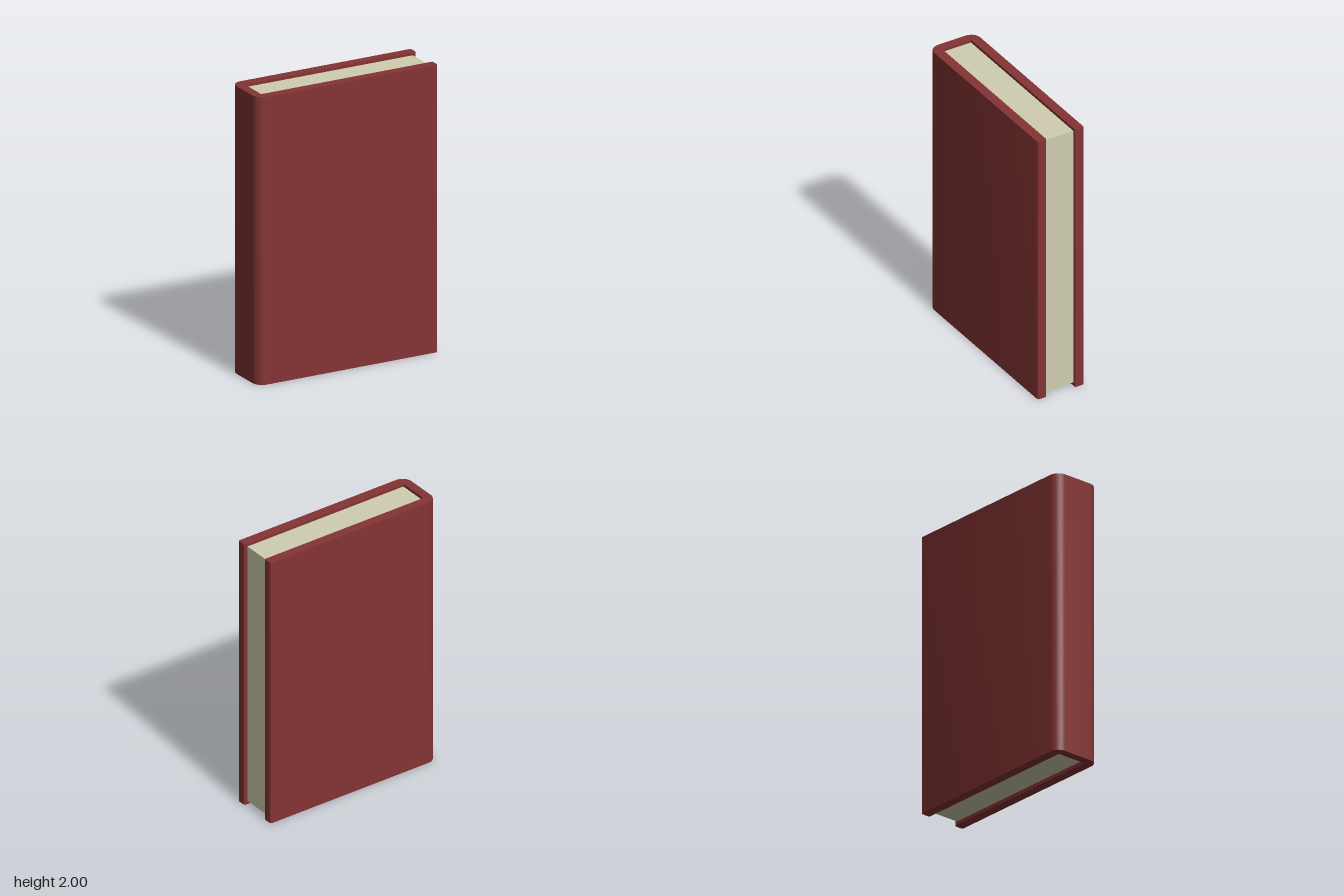
import * as THREE from 'three';
import { toCreasedNormals } from 'three/addons/utils/BufferGeometryUtils.js';

const HEIGHT = 2;
const END = 0.678;      // half width of the covers
const OUTER = 0.178;    // half thickness of the whole book
const INNER = 0.11;     // half thickness of the pages
const SPINE_IN = -0.615; // inner face of the spine

// U-shaped section of the binding: rounded spine, softened board edges
function bindingShape() {
  const r = 0.07, e = 0.013;
  const s = new THREE.Shape();
  s.moveTo(-END + r, -OUTER);
  s.lineTo(END - e, -OUTER);
  s.quadraticCurveTo(END, -OUTER, END, -OUTER + e);
  s.lineTo(END, -INNER - e);
  s.quadraticCurveTo(END, -INNER, END - e, -INNER);
  s.lineTo(SPINE_IN, -INNER);
  s.lineTo(SPINE_IN, INNER);
  s.lineTo(END - e, INNER);
  s.quadraticCurveTo(END, INNER, END, INNER + e);
  s.lineTo(END, OUTER - e);
  s.quadraticCurveTo(END, OUTER, END - e, OUTER);
  s.lineTo(-END + r, OUTER);
  s.absarc(-END + r, OUTER - r, r, Math.PI / 2, Math.PI, false);
  s.lineTo(-END, -OUTER + r);
  s.absarc(-END + r, -OUTER + r, r, Math.PI, Math.PI * 1.5, false);
  return s;
}

export function createModel() {
  const coverRed = new THREE.MeshStandardMaterial({ color: 0x853434 });
  coverRed.name = 'cover red';
  const pageCream = new THREE.MeshStandardMaterial({ color: 0xd0ceb0 });
  pageCream.name = 'page cream';

  const book = new THREE.Group();
  book.name = 'book';

  // Front board, spine and back board in one wrap
  const wrap = new THREE.ExtrudeGeometry(bindingShape(), {
    depth: HEIGHT, bevelEnabled: false, curveSegments: 6,
  });
  wrap.rotateX(-Math.PI / 2);
  const binding = new THREE.Mesh(toCreasedNormals(wrap, 0.6), coverRed);
  binding.name = 'binding';
  book.add(binding);

  // Page block, set in from the board edges
  const x0 = SPINE_IN, x1 = 0.655, y0 = 0.025, y1 = 1.98;
  const pages = new THREE.Mesh(new THREE.BoxGeometry(x1 - x0, y1 - y0, INNER * 2), pageCream);
  pages.name = 'pages';
  pages.position.set((x0 + x1) / 2, (y0 + y1) / 2, 0);
  book.add(pages);

  return book;
}
